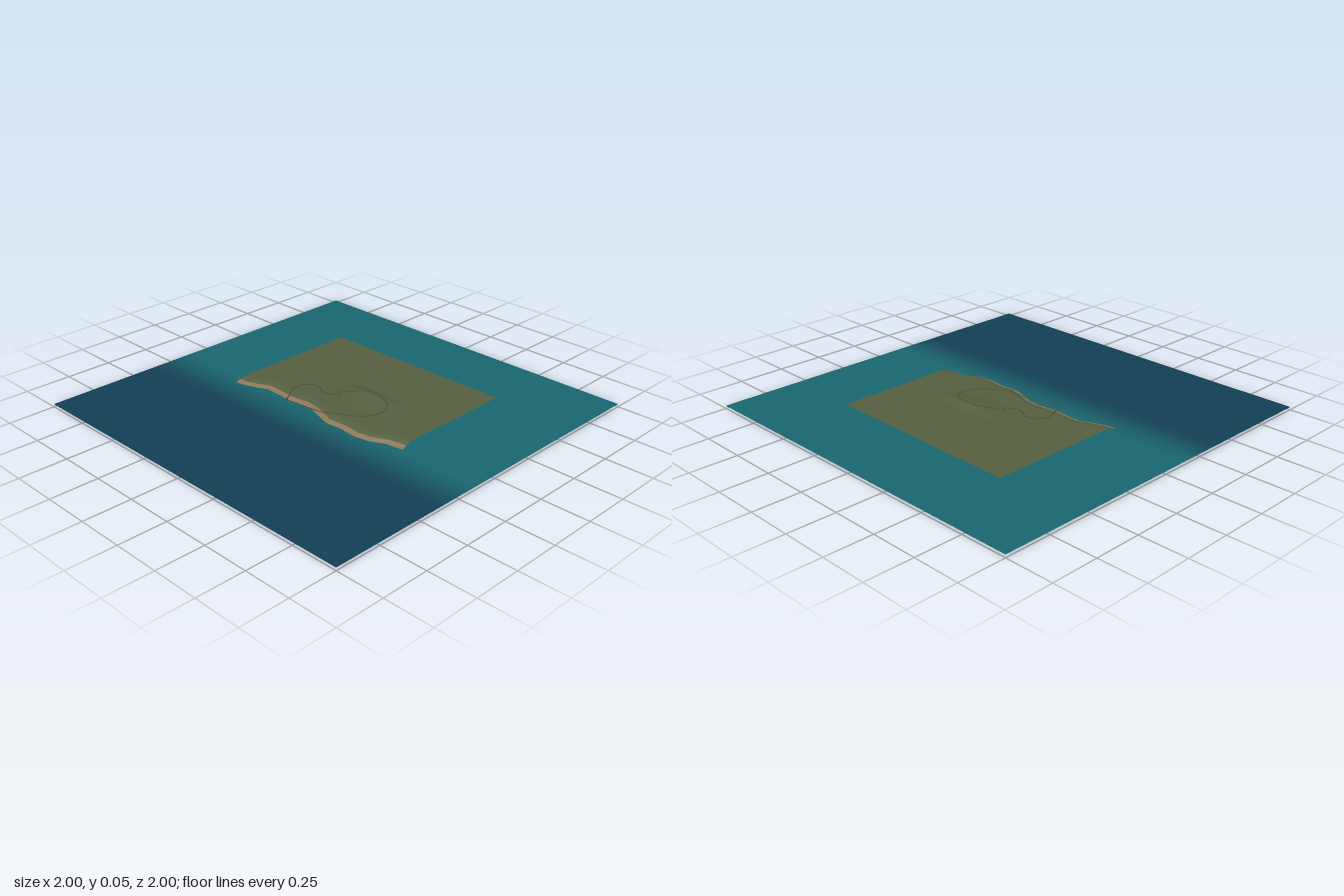
import * as THREE from 'three';

const WATER_Y = 0.015, BACK = -0.59, FRONT = 0.52, HALF = 0.55;

// Shoreline, as (x, z) points
const shore = [[-0.55, 0.187], [-0.5, 0.182], [-0.44, 0.16], [-0.37, 0.128], [-0.3, 0.13], [-0.2, 0.135],
  [-0.1, 0.122], [-0.03, 0.13], [0.05, 0.158], [0.11, 0.178], [0.2, 0.17], [0.3, 0.18],
  [0.38, 0.168], [0.46, 0.128], [0.55, 0.115]];

function shoreZ(x) {
  let i = 0;
  while (i < shore.length - 2 && x > shore[i + 1][0]) i++;
  const [[x0, z0], [x1, z1]] = [shore[i], shore[i + 1]];
  return THREE.MathUtils.lerp(z0, z1, THREE.MathUtils.clamp((x - x0) / (x1 - x0), 0, 1));
}

// Ground height: seabed, beach slope, plain with gentle swells, and a ridge steep on its back side
function groundY(x, z) {
  const d = z - shoreZ(x);
  if (d > 0) {
    const t = d / (FRONT - shoreZ(x));
    return WATER_Y * (1 - t) + t * 0.003 * (1 - Math.cos(x * 9));
  }
  const rise = THREE.MathUtils.smoothstep(-d, -0.02, 0.07);
  const foot = THREE.MathUtils.smoothstep(0, -0.02, 0.07);
  const plain = 0.019 + 0.006 * (x / HALF) * 0.5
    + 0.0015 * Math.sin(x * 13 + 1) * Math.cos(z * 9);
  const dz = z + 0.165;
  const ridge = 0.018 * Math.exp(-(((x - 0.1) / 0.14) ** 2)) * Math.exp(-((dz / (dz < 0 ? 0.032 : 0.09)) ** 2));
  return WATER_Y + ((rise - foot) / (1 - foot)) * (plain + ridge);
}

function material(color) {
  return new THREE.MeshStandardMaterial({ color, side: THREE.DoubleSide });
}

// Ground patch between two z limits, each a function of x
function groundPatch(name, color, zBack, zFront, rows) {
  const geo = new THREE.PlaneGeometry(2 * HALF, 1, 110, rows).rotateX(-Math.PI / 2);
  const p = geo.attributes.position;
  for (let i = 0; i < p.count; i++) {
    const x = p.getX(i);
    const z = THREE.MathUtils.lerp(zBack(x), zFront(x), p.getZ(i) + 0.5);
    p.setXYZ(i, x, groundY(x, z), z);
  }
  geo.computeVertexNormals();
  const mesh = new THREE.Mesh(geo, material(color));
  mesh.name = name;
  return mesh;
}

// Closed narrow road draped on the ground, bridging the water where it leaves the shore
function road() {
  const path = [[-0.2, 0.15], [-0.14, 0.153], [-0.04, 0.135], [0.06, 0.118], [0.15, 0.08], [0.22, 0.025],
    [0.255, -0.05], [0.24, -0.115], [0.2, -0.15], [0.11, -0.163], [0.04, -0.152], [0, -0.118],
    [-0.055, -0.09], [-0.04, -0.055], [-0.08, -0.03], [-0.12, -0.025], [-0.18, -0.052],
    [-0.24, -0.03], [-0.26, 0.02], [-0.25, 0.07], [-0.22, 0.115]];
  const curve = new THREE.CatmullRomCurve3(path.map(([x, z]) => new THREE.Vector3(x, 0, z)), true);
  const n = 240, half = 0.004, verts = [], index = [];
  for (let i = 0; i <= n; i++) {
    const c = curve.getPointAt((i % n) / n), t = curve.getTangentAt((i % n) / n);
    const y = Math.max(groundY(c.x, c.z), WATER_Y + 0.008) + 0.002;
    for (const s of [-half, half]) verts.push(c.x - t.z * s, y, c.z + t.x * s);
    if (i < n) {
      const a = 2 * i;
      index.push(a, a + 2, a + 1, a + 1, a + 2, a + 3);
    }
  }
  const geo = new THREE.BufferGeometry();
  geo.setAttribute('position', new THREE.Float32BufferAttribute(verts, 3));
  geo.setIndex(index);
  geo.computeVertexNormals();
  const mesh = new THREE.Mesh(geo, material(0x4c4844));
  mesh.name = 'road';
  return mesh;
}

// Flat water sheet, shading from shallow to deep in strips
function water() {
  const group = new THREE.Group();
  group.name = 'water';
  const shallow = new THREE.Color(0x1a6870), deep = new THREE.Color(0x134056);
  const edges = [-1];
  for (let i = 0; i <= 16; i++) edges.push(0.1 + (0.3 * i) / 16);
  edges.push(1);
  for (let i = 0; i < edges.length - 1; i++) {
    const z0 = edges[i], z1 = edges[i + 1];
    const geo = new THREE.PlaneGeometry(2, z1 - z0).rotateX(-Math.PI / 2);
    const color = shallow.clone().lerp(deep, THREE.MathUtils.smoothstep(i / (edges.length - 2), 0, 1));
    const strip = new THREE.Mesh(geo, material(color));
    strip.position.set(0, WATER_Y, (z0 + z1) / 2);
    strip.name = 'waterStrip';
    group.add(strip);
  }
  return group;
}

export function createModel() {
  const model = new THREE.Group();
  model.name = 'coast';
  const beachTop = (x) => shoreZ(x) - 0.028;
  model.add(
    water(),
    groundPatch('land', 0x566040, () => BACK, beachTop, 90),
    groundPatch('beach', 0x8a7858, beachTop, shoreZ, 8),
    groundPatch('seabed', 0x8a7858, shoreZ, () => FRONT, 10),
    road()
  );
  return model;
}
